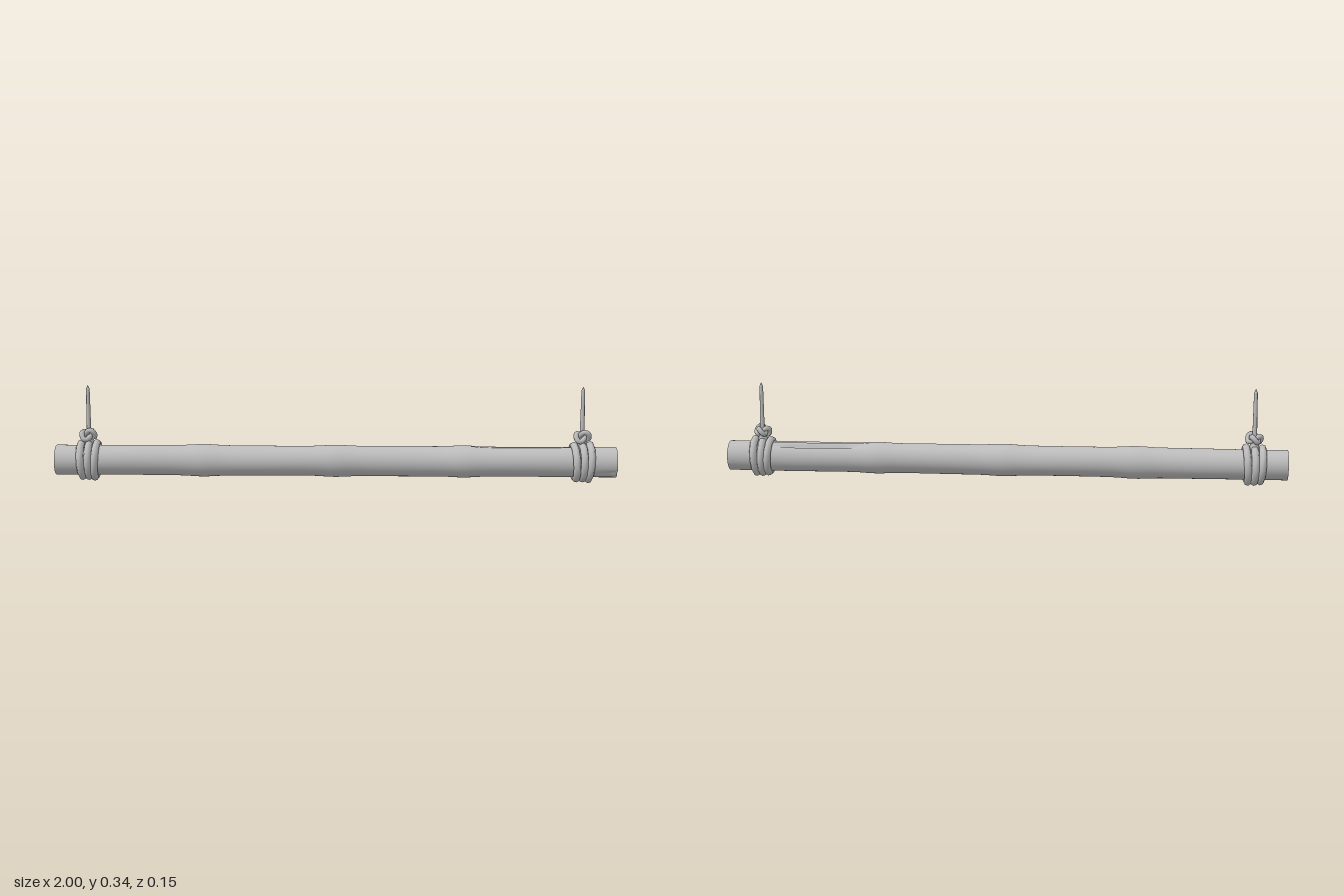
import * as THREE from 'three';
import { mergeVertices } from 'three/addons/utils/BufferGeometryUtils.js';

const AXIS_Y = 0.076;
const wood = new THREE.MeshStandardMaterial({ color: 0xbcbcbc, side: THREE.DoubleSide });
wood.name = 'plain grey';

function add(parent, name, geometry) {
  const mesh = new THREE.Mesh(geometry, wood);
  mesh.name = name;
  parent.add(mesh);
  return mesh;
}

// Splits along the pole: [start x, end x, angle from top towards front, depth, width]
const cracks = [
  [0.47, 0.87, -0.02, 0.009, 0.16],
  [0.5, 0.86, -0.62, 0.012, 0.16],
  [-0.02, 0.42, -0.5, 0.003, 0.14],
  [-0.24, 0.0, -0.42, 0.002, 0.14],
  [0.92, 1.1, 2.2, 0.007, 0.16],
];

function poleRadius(x, angle) {
  let r = 0.0535;
  // swollen joints
  for (const node of [-0.47, 0, 0.46]) r += 0.004 * Math.exp(-(((x - node) / 0.055) ** 2));
  r += 0.0006 * Math.sin(x * 9 + angle * 2);
  for (const [a, b, at, depth, width] of cracks) {
    if (x < a || x > b) continue;
    const along = Math.min(1, (x - a) / 0.08, (b - x) / 0.08);
    r -= depth * along * Math.max(0, 1 - Math.abs(angle - at) / width);
  }
  return r;
}

function poleGeometry() {
  const profile = [];
  for (let i = 0; i <= 100; i++) profile.push(new THREE.Vector2(0.05, -1 + i * 0.02));
  let g = new THREE.LatheGeometry(profile, 56).rotateZ(-Math.PI / 2);
  const p = g.attributes.position;
  for (let i = 0; i < p.count; i++) {
    const angle = Math.atan2(p.getZ(i), p.getY(i));
    const r = poleRadius(p.getX(i), angle);
    p.setY(i, r * Math.cos(angle));
    p.setZ(i, r * Math.sin(angle));
  }
  g.deleteAttribute('normal');
  g.deleteAttribute('uv');
  g = mergeVertices(g, 1e-5);
  g.computeVertexNormals();
  return g;
}

// Hollow end: tapering inner wall closed by a disc
function hollowEnd() {
  const end = new THREE.Group();
  end.name = 'hollowEnd';
  const wall = new THREE.LatheGeometry(
    [new THREE.Vector2(0.0525, 0.999), new THREE.Vector2(0.047, 0.985), new THREE.Vector2(0.042, 0.9)], 28);
  add(end, 'innerWall', wall.rotateZ(-Math.PI / 2));
  add(end, 'innerDisc', new THREE.CircleGeometry(0.0425, 28).rotateY(Math.PI / 2).translate(0.9, 0, 0));
  return end;
}

function tube(points, closed, segments, radius, sides) {
  const curve = new THREE.CatmullRomCurve3(points, closed);
  return new THREE.TubeGeometry(curve, segments, radius, sides, closed);
}

// Rope lashing with knot and upright cord, centred on x = 0
function lashing() {
  const g = new THREE.Group();
  g.name = 'lashing';

  // three coarse turns round the pole
  for (let k = -1; k <= 1; k++) {
    const ring = [];
    for (let i = 0; i < 20; i++) {
      const a = (i / 20) * Math.PI * 2;
      const r = 0.0605 + 0.0015 * Math.sin(a * 2 + k * 2);
      ring.push(new THREE.Vector3(k * 0.025 + 0.004 * Math.sin(a + k), AXIS_Y + r * Math.cos(a), r * Math.sin(a)));
    }
    add(g, 'ropeTurn', tube(ring, true, 11, 0.0135, 8));
  }

  // interlaced knot on top
  const knot = [];
  for (let i = 0; i < 24; i++) {
    const t = (i / 24) * Math.PI * 2;
    knot.push(new THREE.Vector3(
      0.0085 * (Math.sin(t) + 2 * Math.sin(2 * t)),
      0.168 - 0.012 * Math.sin(3 * t) + 0.005 * Math.sin(t),
      -0.003 + 0.008 * (Math.cos(t) - 2 * Math.cos(2 * t))));
  }
  add(g, 'knot', tube(knot, true, 48, 0.0095, 7));
  add(g, 'knotNeck', new THREE.CylinderGeometry(0.01, 0.018, 0.04, 8).translate(0, 0.155, -0.004));

  // cord rising to a point
  add(g, 'cord', new THREE.CylinderGeometry(0.0065, 0.0085, 0.172, 8, 1, true).translate(0, 0.246, -0.007));
  add(g, 'cordTip', new THREE.ConeGeometry(0.0065, 0.014, 8, 1, true).translate(0, 0.339, -0.007));
  return g;
}

export function createModel() {
  const model = new THREE.Group();
  model.name = 'lashedPole';

  const pole = new THREE.Group();
  pole.name = 'pole';
  pole.position.y = AXIS_Y;
  add(pole, 'poleShaft', poleGeometry());
  for (const turn of [0, Math.PI]) {
    const end = hollowEnd();
    end.rotation.y = turn;
    pole.add(end);
  }
  model.add(pole);

  for (const x of [-0.883, 0.879]) {
    const rope = lashing();
    rope.position.x = x;
    model.add(rope);
  }
  return model;
}
